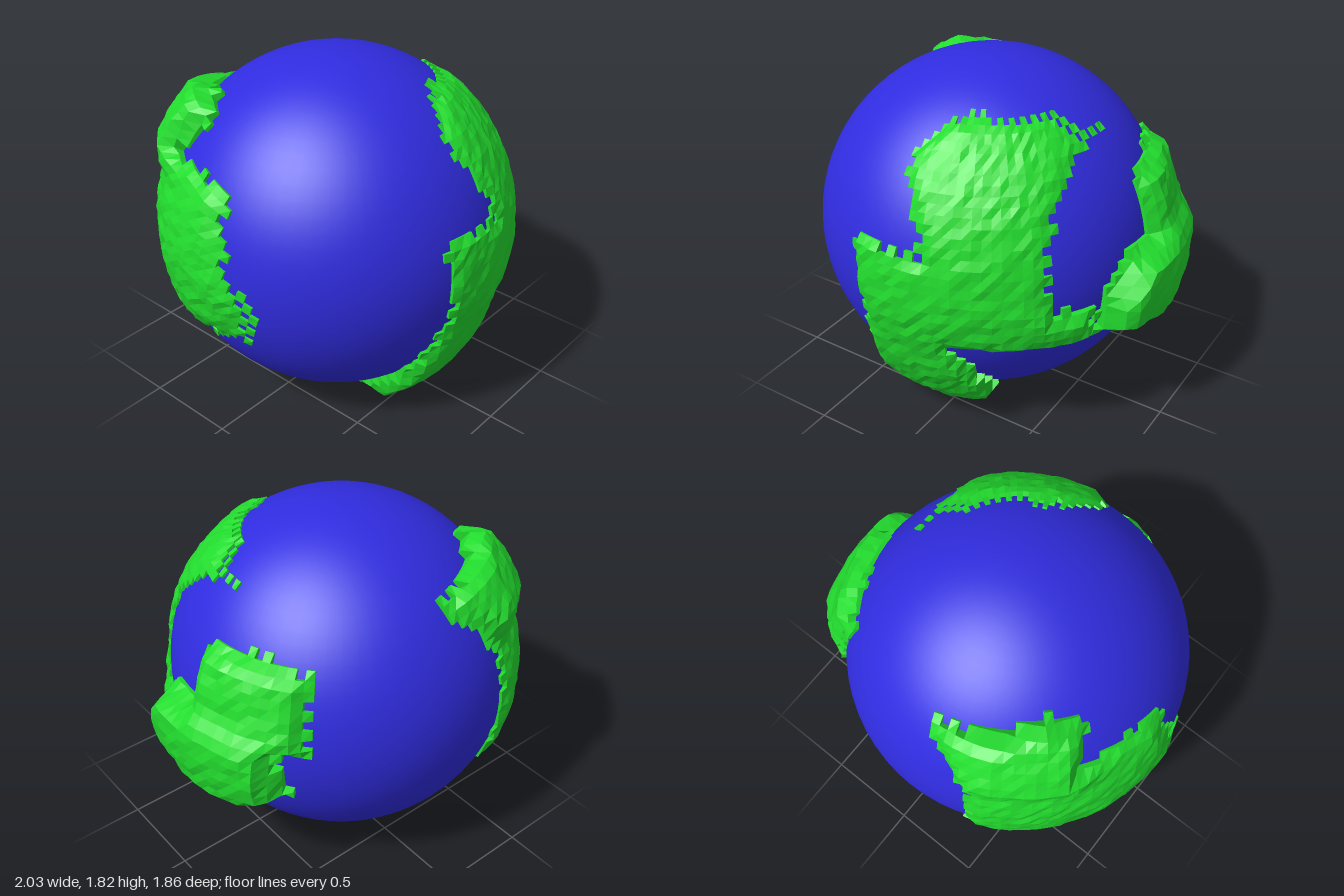
import * as THREE from 'three';

const R = 0.91;
const CENTER = new THREE.Vector3(-0.08, 0.97, -0.01);
const STEP = THREE.MathUtils.degToRad(3);
const smooth = THREE.MathUtils.smoothstep;
const noise = (i, j) => { const s = Math.sin(i * 12.99 + j * 78.23) * 43758.5; return s - Math.floor(s); };

// Signed distance to an outline: positive inside
function insideDistance(poly, x, y) {
  let inside = false, best = Infinity;
  poly.forEach(([ax, ay], k) => {
    const [bx, by] = poly[(k + 1) % poly.length];
    if ((ay > y) !== (by > y) && x < ((bx - ax) * (y - ay)) / (by - ay) + ax) inside = !inside;
    const dx = bx - ax, dy = by - ay;
    const t = THREE.MathUtils.clamp(((x - ax) * dx + (y - ay) * dy) / (dx * dx + dy * dy), 0, 1);
    best = Math.min(best, Math.hypot(x - ax - t * dx, y - ay - t * dy));
  });
  return inside ? best : -best;
}

// Raised land: sphere grid cells inside an outline drawn on the plane facing (azimuth, elevation)
function makeLand({ name, azimuth, elevation, outline, scale, rim, height }, material) {
  const a = THREE.MathUtils.degToRad(azimuth), e = THREE.MathUtils.degToRad(elevation);
  const right = new THREE.Vector3(Math.cos(a), 0, -Math.sin(a));
  const toward = new THREE.Vector3(Math.sin(a) * Math.cos(e), Math.sin(e), Math.cos(a) * Math.cos(e));
  const up = toward.clone().cross(right);
  const half = 30;
  const local = (i, j) => {
    const u = i * STEP, v = j * STEP;
    return [Math.sin(u) * Math.cos(v), Math.sin(v), Math.cos(u) * Math.cos(v)];
  };
  const point = (i, j, base) => {
    const [x, y, z] = local(i, j);
    let r = R - 0.02;
    if (!base) {
      const d = insideDistance(outline, x * scale, y * scale);
      const rise = height(x * scale, y * scale) * (0.12 + 0.88 * smooth(d, -0.01, rim));
      r = R + 0.008 + rise + (noise(i, j) - 0.5) * 0.012;
    }
    return new THREE.Vector3().addScaledVector(right, x * r).addScaledVector(up, y * r).addScaledVector(toward, z * r);
  };
  const has = (i, j) => {
    if (Math.abs(i + 0.5) > half || Math.abs(j + 0.5) > half) return false;
    const [x, y] = local(i + 0.5, j + 0.5);
    const teeth = (i + j) % 2 ? 0.012 : -0.012;
    return insideDistance(outline, x * scale, y * scale) > teeth;
  };
  const pos = [];
  const quad = (p, q, r, s) => [p, q, r, p, r, s].forEach((v) => pos.push(v.x, v.y, v.z));
  for (let i = -half; i < half; i++) {
    for (let j = -half; j < half; j++) {
      if (!has(i, j)) continue;
      const c = [[i, j], [i + 1, j], [i + 1, j + 1], [i, j + 1]];
      quad(...c.map(([m, n]) => point(m, n)));
      // Cliff walls along the coast
      [[0, -1], [1, 0], [0, 1], [-1, 0]].forEach(([di, dj], k) => {
        if (has(i + di, j + dj)) return;
        const p = c[k], q = c[(k + 1) % 4];
        quad(point(...p, true), point(...q, true), point(...q), point(...p));
      });
    }
  }
  const geo = new THREE.BufferGeometry();
  geo.setAttribute('position', new THREE.Float32BufferAttribute(pos, 3));
  geo.computeVertexNormals();
  const mesh = new THREE.Mesh(geo, material);
  mesh.name = name;
  mesh.position.copy(CENTER);
  return mesh;
}

// Tall front land with a southern cape and an eastern land bridge
const frontContinent = {
  name: 'frontContinent', azimuth: 0, elevation: 0, scale: 0.935, rim: 0.05,
  height: (x, y) => 0.025 + 0.075 * smooth(-y, 0.25, 0.8) + 0.03 * smooth(x, 0.4, 0.8) * smooth(-y, -0.05, 0.1),
  outline: [
    [0.16, 0.79], [0.48, 0.77], [0.65, 0.66], [0.73, -0.08], [0.84, -0.09], [0.84, -0.3], [0.28, -0.28],
    [0.38, -0.55], [0.36, -0.72], [0.03, -0.885], [-0.19, -0.85], [-0.29, -0.76], [-0.17, -0.2],
    [-0.22, 0.25], [0.2, 0.2], [0, 0.63],
  ],
};

// Thick land on the +x side
const eastContinent = {
  name: 'eastContinent', azimuth: 90, elevation: 0, scale: 0.99, rim: 0.09,
  height: (x, y) => 0.08 + 0.075 * smooth(-y, -0.2, -0.04),
  outline: [
    [-0.36, -0.07], [-0.21, 0.13], [0, 0.16], [0, 0.47], [0.39, 0.52], [0.59, 0.46],
    [0.65, 0.07], [0.51, 0.05], [0.55, -0.22], [0.39, -0.33], [0.09, -0.36], [-0.36, -0.28],
  ],
};

// Large land wrapping the back and the -x side, with a rugged north
const westContinent = {
  name: 'westContinent', azimuth: 213, elevation: 20, scale: 0.94, rim: 0.07,
  height: (x, y) => 0.03 + 0.085 * smooth(y, 0.02, 0.15) * smooth(-x, -0.5, -0.3) * smooth(x, -0.4, -0.05),
  outline: [
    [-0.38, 0.4], [-0.03, 0.43], [0.17, 0.5], [0.36, 0.44], [0.35, 0.19], [0.72, 0.3], [0.89, -0.19],
    [0.82, -0.41], [0.54, -0.63], [-0.03, -0.81], [-0.19, -0.6], [-0.17, 0],
  ],
};

export function createModel() {
  const group = new THREE.Group();
  group.name = 'globe';
  const water = new THREE.MeshStandardMaterial({ color: 0x302ce0 });
  const grass = new THREE.MeshStandardMaterial({ color: 0x22dd2e, flatShading: true, side: THREE.DoubleSide });

  const ocean = new THREE.Mesh(new THREE.SphereGeometry(R, 64, 40), water);
  ocean.name = 'ocean';
  ocean.position.copy(CENTER);
  group.add(ocean);

  [frontContinent, eastContinent, westContinent].forEach((land) => group.add(makeLand(land, grass)));
  return group;
}
